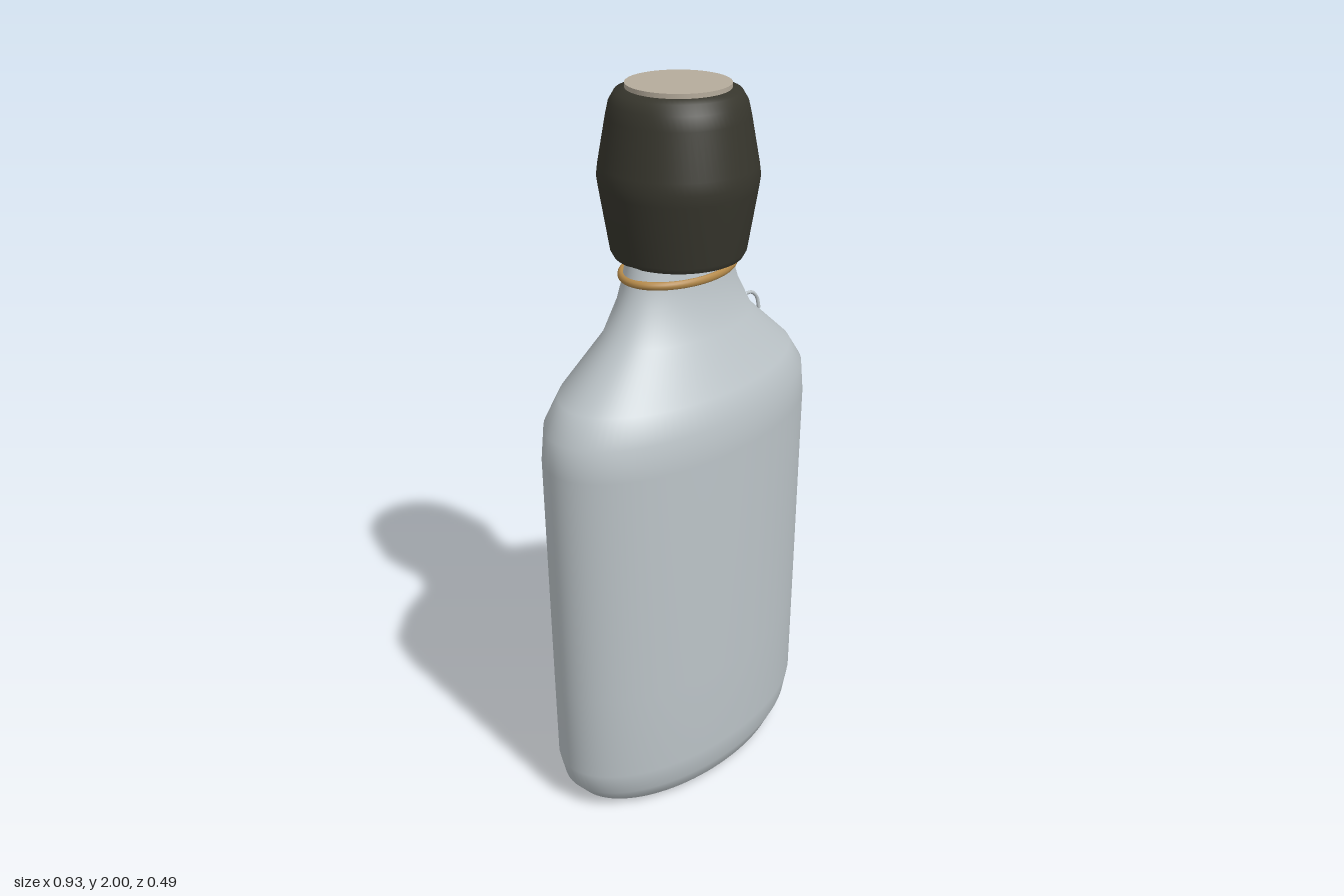
import * as THREE from 'three';

const paint = (name, color) => {
  const m = new THREE.MeshStandardMaterial({ color });
  m.name = name;
  return m;
};

// Lathe from [radius, height] pairs; a repeated point makes a hard edge
const turned = (points, segments = 72) =>
  new THREE.LatheGeometry(points.map(([r, y]) => new THREE.Vector2(r, y)), segments);

export function createModel() {
  const model = new THREE.Group();
  model.name = 'bottle';

  const glass = paint('pale grey glass', 0xbcc4c8);
  const dark = paint('dark stopper', 0x37362d);
  const gold = paint('gold band', 0xb58a4a);
  const inlay = paint('beige inlay', 0xb5ab9b);

  const add = (name, geometry, material) => {
    const mesh = new THREE.Mesh(geometry, material);
    mesh.name = name;
    model.add(mesh);
    return mesh;
  };

  // Flattened flask body with sloping shoulders and closed neck
  const body = turned([
    [0, 0], [0.345, 0], [0.345, 0], [0.395, 0.022], [0.435, 0.07], [0.453, 0.14],
    [0.457, 0.4], [0.466, 1.08], [0.456, 1.17], [0.405, 1.24], [0.255, 1.37],
    [0.202, 1.46], [0.184, 1.51], [0.172, 1.562], [0.172, 1.562], [0, 1.57],
  ], 96);
  body.scale(1, 1, 0.525);
  // The neck is a little rounder than the body
  const p = body.attributes.position;
  for (let i = 0; i < p.count; i++) {
    const t = THREE.MathUtils.clamp((p.getY(i) - 1.2) / 0.3, 0, 1);
    p.setZ(i, p.getZ(i) * (1 + 0.14 * t));
  }
  add('body', body, glass);

  // Oval band around the neck
  const band = new THREE.TorusGeometry(0.177, 0.011, 12, 72);
  band.rotateX(Math.PI / 2);
  band.scale(1, 1, 0.69);
  add('neckBand', band, gold).position.y = 1.523;

  // Round stopper, widest at the middle
  add('stopper', turned([
    [0, 1.56], [0.17, 1.56], [0.17, 1.56], [0.178, 1.575], [0.205, 1.74], [0.209, 1.77],
    [0.205, 1.8], [0.183, 1.92], [0.175, 1.955], [0.16, 1.98], [0.137, 1.988],
    [0.137, 1.988], [0, 1.988],
  ]), dark);

  // Inlaid disc on top of the stopper
  add('stopperInlay', new THREE.CylinderGeometry(0.134, 0.134, 0.014, 72), inlay).position.y = 1.993;

  // Small curled tag on the left shoulder
  const curl = new THREE.CatmullRomCurve3([
    [0.22, 1.395, 0.052], [0.245, 1.392, 0.054], [0.262, 1.375, 0.058], [0.268, 1.342, 0.062],
  ].map((v) => new THREE.Vector3(...v)));
  add('shoulderTag', new THREE.TubeGeometry(curl, 16, 0.005, 8), glass);

  return model;
}
